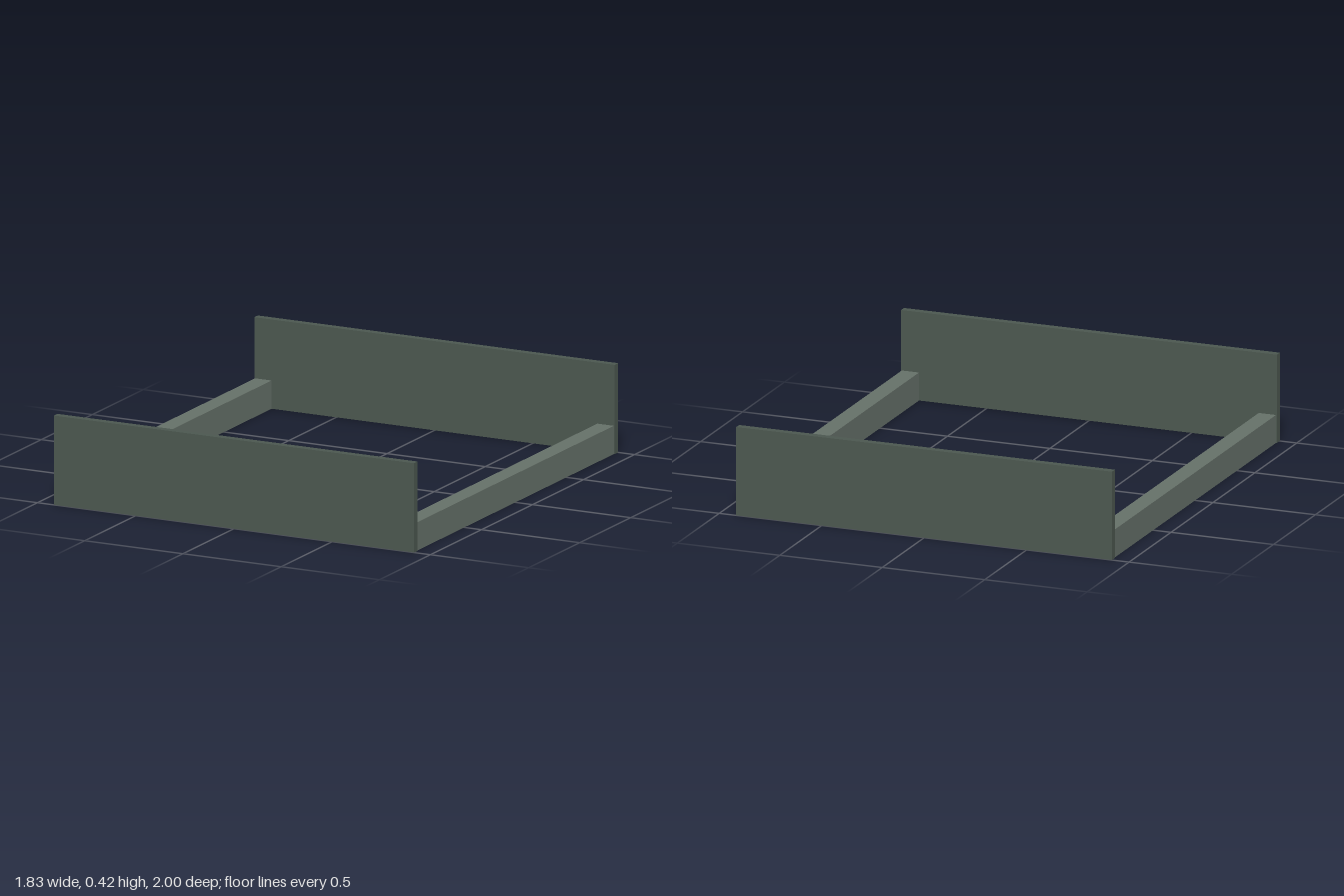
import * as THREE from 'three';

export function createModel() {
  const group = new THREE.Group();
  group.name = 'bedFrame';
  const panelMaterial = new THREE.MeshStandardMaterial({ color: 0x4b574f });
  const railMaterial = new THREE.MeshStandardMaterial({ color: 0x657068 });

  const width = 1.834, length = 2;
  const panelHeight = 0.417, panelThickness = 0.035;
  const railHeight = 0.132, railWidth = 0.084, railInset = 0.004;

  // Adds a box standing on the ground
  function addBoard(name, w, h, d, x, z, material) {
    const board = new THREE.Mesh(new THREE.BoxGeometry(w, h, d), material);
    board.name = name;
    board.position.set(x, h / 2, z);
    group.add(board);
  }

  for (const side of [1, -1]) {
    // Tall end panels
    addBoard(side > 0 ? 'frontPanel' : 'backPanel', width, panelHeight, panelThickness,
      0, side * (length - panelThickness) / 2, panelMaterial);
    // Low side rails running between the panels
    addBoard(side > 0 ? 'leftRail' : 'rightRail', railWidth, railHeight, length - 2 * panelThickness,
      side * (width / 2 - railInset - railWidth / 2), 0, railMaterial);
  }
  return group;
}
